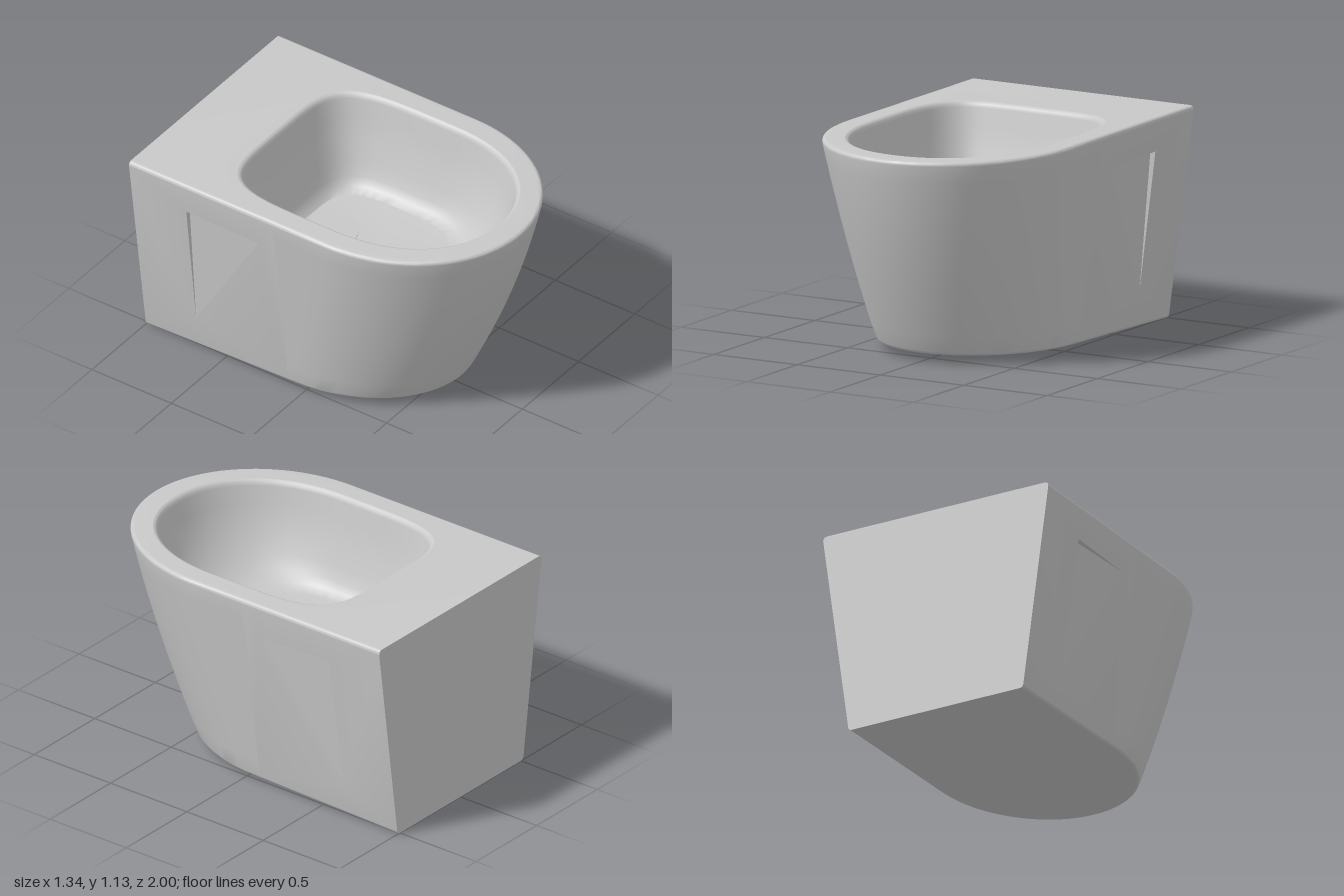
import * as THREE from 'three';
import { toCreasedNormals } from 'three/addons/utils/BufferGeometryUtils.js';

const TOP = 1.13, BACK = -1;
const widthAt = (y) => 0.519 + 0.1367 * y;          // flaring half width
const baseAt = (z) => 0.045 * (z + 1) / 1.61;       // underside rises to the front
const V = (x, y, z) => new THREE.Vector3(x, y, z);

// U-shaped body outline at height fraction t, pulled in by inset
function bodyRing(t, inset) {
  const front = 0.615 + 0.385 * t + 0.168 * t * (1 - t) - inset;
  const centre = -0.05 + 0.29 * t;
  const place = (side, z) => {
    const y = THREE.MathUtils.lerp(baseAt(z), TOP, t);
    return V(side * (widthAt(y) - inset), y, z);
  };
  const ring = [place(1, BACK), place(1, -0.1)];
  for (let i = 0; i <= 48; i++) {
    const a = Math.PI * i / 48;
    ring.push(place(Math.cos(a), centre + (front - centre) * Math.sin(a)));
  }
  ring.push(place(-1, -0.1), place(-1, BACK));
  return ring;
}

// Closed bowl outline: squarish at the back, round at the front
function bowlRing(depth, half, back, front, centre) {
  const ring = [];
  for (let i = 0; i < 80; i++) {
    const a = 2 * Math.PI * i / 80, c = Math.cos(a), s = Math.sin(a);
    const p = 2 / (s >= 0 ? 2.15 : 4.8);
    const x = Math.sign(c) * Math.abs(c) ** p * half;
    const z = Math.sign(s) * Math.abs(s) ** p * (s >= 0 ? front - centre : centre - back);
    ring.push(V(x, TOP - depth, centre + z));
  }
  return ring;
}

// Skin between successive rings
function loft(out, rings, closed, skip = () => false) {
  for (let k = 0; k + 1 < rings.length; k++) {
    const a = rings[k], b = rings[k + 1], n = a.length;
    for (let i = 0; i < (closed ? n : n - 1); i++) {
      if (skip(k, i)) continue;
      const j = (i + 1) % n;
      out.push(a[i], b[i], a[j], a[j], b[i], b[j]);
    }
  }
}

// Filled polygon in the plane of axes u, v, turned to face outward
function face(out, u, v, outward, contour, hole) {
  const flat = (p) => new THREE.Vector2(p[u], p[v]);
  const all = hole ? [...contour, ...hole] : contour;
  const tris = THREE.ShapeUtils.triangulateShape(contour.map(flat), hole ? [hole.map(flat)] : []);
  for (const [i, j, k] of tris) {
    const [a, b, c] = [all[i], all[j], all[k]];
    const n = b.clone().sub(a).cross(c.clone().sub(a));
    if (n.dot(outward) >= 0) out.push(a, b, c); else out.push(a, c, b);
  }
}

function toMesh(name, points, material, crease) {
  const geometry = new THREE.BufferGeometry().setFromPoints(points);
  const mesh = new THREE.Mesh(toCreasedNormals(geometry, crease), material);
  mesh.name = name;
  return mesh;
}

export function createModel() {
  const group = new THREE.Group();
  group.name = 'wallHungToilet';
  const ceramic = new THREE.MeshStandardMaterial({ color: 0xc8c8c8 });
  ceramic.name = 'ceramic';

  // Body rings: lower fillet, wall, upper fillet
  const rings = [], STEPS = 5, WALL = 12;
  const r0 = 0.018, r1 = 0.025;
  const t0 = r0 / TOP, t1 = 1 - r1 / TOP;
  for (let i = 0; i < STEPS; i++) {
    const a = Math.PI / 2 * i / STEPS;
    rings.push(bodyRing(t0 * (1 - Math.cos(a)), r0 * (1 - Math.sin(a))));
  }
  for (let i = 0; i <= WALL; i++) rings.push(bodyRing(THREE.MathUtils.lerp(t0, t1, i / WALL), 0));
  for (let i = 1; i <= STEPS; i++) {
    const a = Math.PI / 2 * i / STEPS;
    rings.push(bodyRing(t1 + (1 - t1) * Math.sin(a), r1 * (1 - Math.cos(a))));
  }
  const low = STEPS, high = STEPS + WALL, last = rings[0].length - 1;

  // Bowl rings: depth, half width, back, front, centre
  const bowlRings = [
    [0, 0.548, -0.543, 0.868, 0.2],
    [0.004, 0.538, -0.533, 0.858, 0.2],
    [0.012, 0.53, -0.525, 0.85, 0.2],
    [0.03, 0.525, -0.52, 0.843, 0.2],
    [0.12, 0.51, -0.5, 0.82, 0.2],
    [0.25, 0.475, -0.465, 0.77, 0.18],
    [0.36, 0.44, -0.43, 0.7, 0.16],
    [0.43, 0.415, -0.41, 0.63, 0.14],
    [0.475, 0.39, -0.39, 0.56, 0.12],
    [0.5, 0.35, -0.365, 0.46, 0.1],
  ].map((r) => bowlRing(...r));

  // Body shell with underside, rim and back wall
  const body = [];
  loft(body, rings, false, (k, i) => k >= low && k < high && (i === 0 || i === last - 1));
  face(body, 'x', 'z', V(0, -1, 0), rings[0]);
  face(body, 'x', 'z', V(0, 1, 0), rings[rings.length - 1], bowlRings[0]);
  const backEdge = [...rings.map((r) => r[0]), ...rings.map((r) => r[last]).reverse()];
  face(body, 'x', 'y', V(0, 0, -1), backEdge);

  // Flat side panels, each with a shallow pocket deepest at its upper back corner
  for (const side of [1, -1]) {
    const at = (y, z, sink = 0) => V(side * (widthAt(y) - sink), y, z);
    const [p, q] = side > 0 ? [0, 1] : [last, last - 1];
    const a = at(0.94, -0.2), b = at(0.2, -0.665), c = at(0.948, -0.655);
    const deep = at(0.948, -0.655, 0.03);
    const out = V(side, 0, 0);
    face(body, 'z', 'y', out, [rings[low][p], rings[low][q], rings[high][q], rings[high][p]], [a, b, c]);
    const pocket = [];
    face(pocket, 'z', 'y', out, [a, b, deep]);
    face(pocket, 'x', 'z', V(0, -1, 0), [a, c, deep]);
    face(pocket, 'x', 'y', V(0, 0, 1), [c, b, deep]);
    group.add(toMesh(side > 0 ? 'leftMountingPocket' : 'rightMountingPocket', pocket, ceramic, 0.1));
  }
  group.add(toMesh('body', body, ceramic, 0.6));

  // Bowl with its flat floor
  const bowl = [];
  loft(bowl, bowlRings, true);
  face(bowl, 'x', 'z', V(0, 1, 0), bowlRings[bowlRings.length - 1]);
  group.add(toMesh('bowl', bowl, ceramic, 0.7));

  // Drain disc
  const drain = new THREE.Mesh(new THREE.CylinderGeometry(0.138, 0.138, 0.008, 48), ceramic);
  drain.position.set(0, TOP - 0.5, -0.195);
  drain.name = 'drain';
  group.add(drain);

  return group;
}
